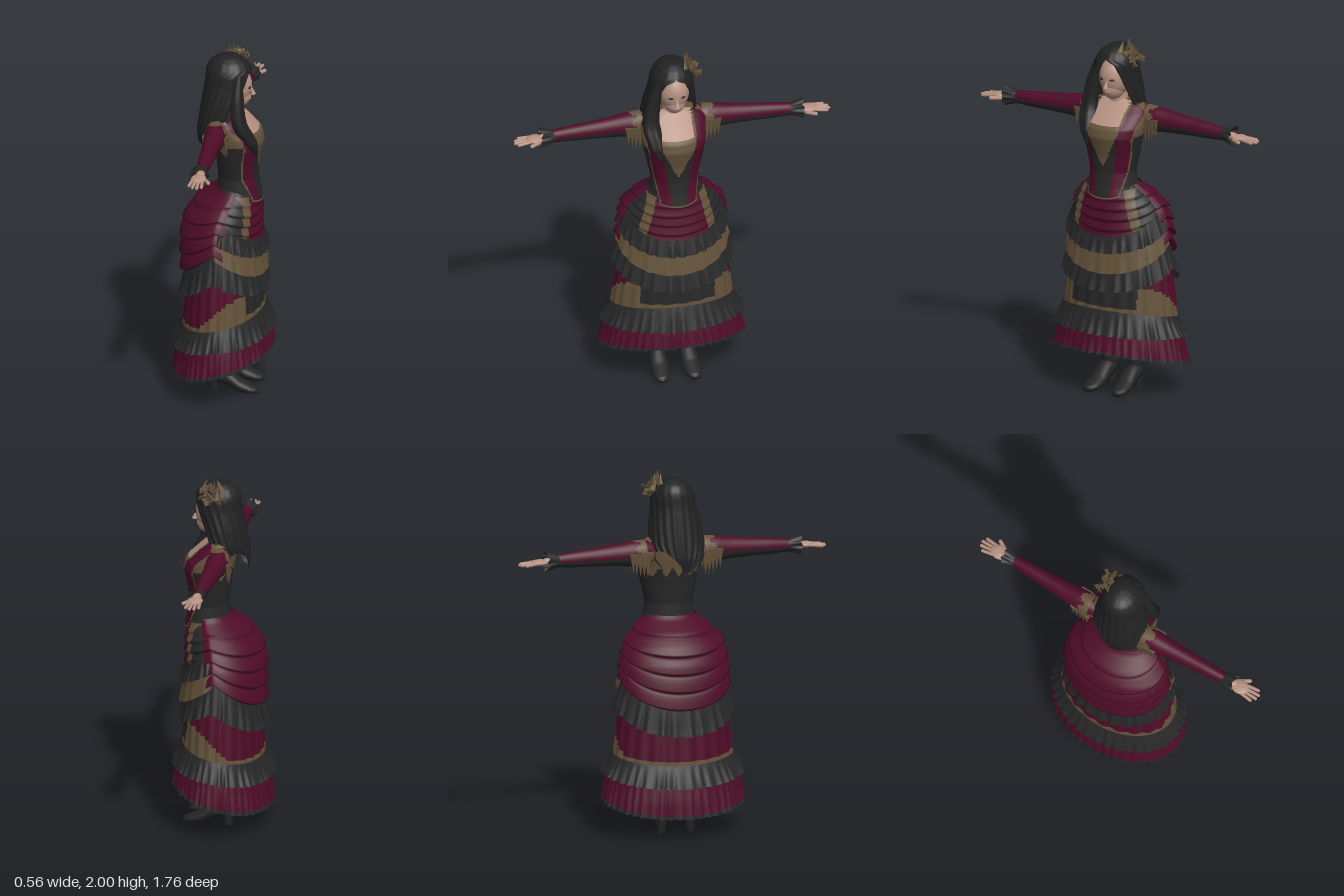
import * as THREE from 'three';
import { mergeVertices } from 'three/addons/utils/BufferGeometryUtils.js';

const { sin, cos, abs, max, min, PI } = Math;
const mat = (name, color) => new THREE.MeshStandardMaterial({ name, color, side: THREE.DoubleSide });

// Linear lookup in rows sorted by rising first value
function lookup(rows, k) {
  let i = 0;
  while (i < rows.length - 2 && k > rows[i + 1][0]) i++;
  const a = rows[i], b = rows[i + 1];
  const t = min(1, max(0, (k - a[0]) / (b[0] - a[0])));
  return a.slice(1).map((n, j) => n + (b[j + 1] - n) * t);
}

// Grid surface; each quad goes to the material chosen by paint
function surface(name, nu, nv, point, paint) {
  const pos = [], faces = new Map();
  for (let j = 0; j <= nv; j++) for (let i = 0; i <= nu; i++) pos.push(...point(i / nu, j / nv));
  for (let j = 0; j < nv; j++) for (let i = 0; i < nu; i++) {
    const a = j * (nu + 1) + i, c = a + nu + 1;
    const [x, y, z] = point((i + 0.5) / nu, (j + 0.5) / nv);
    const m = paint.isMaterial ? paint : paint(x, y, z, (i + 0.5) / nu, (j + 0.5) / nv);
    if (!faces.has(m)) faces.set(m, []);
    faces.get(m).push(a, c, a + 1, a + 1, c, c + 1);
  }
  let g = new THREE.BufferGeometry();
  g.setAttribute('position', new THREE.Float32BufferAttribute(pos, 3));
  g.setIndex([...faces.values()].flat());
  g = mergeVertices(g, 1e-5);
  let start = 0;
  [...faces.values()].forEach((f, k) => { g.addGroup(start, f.length, k); start += f.length; });
  g.computeVertexNormals();
  const mesh = new THREE.Mesh(g, [...faces.keys()]);
  mesh.name = name;
  return mesh;
}

// Point on an oval ring: half width, back z, front z, angle from the front
const oval = (y, [hw, zb, zf], a, off = 0) =>
  [(hw + off) * sin(a), y, (zf + zb) / 2 + ((zf - zb) / 2 + off) * cos(a)];
// Height that runs front -> side -> back
const drape = ([f, s, b], a) => { const c = cos(a), e = c > 0 ? f : b; return e + (s - e) * (1 - abs(c)); };

// Profiles: y, half width, back z, front z
const SKIRT = [[0.08, 0.38, -0.25, 0.235], [0.2, 0.37, -0.245, 0.235], [0.4, 0.34, -0.225, 0.215], [0.6, 0.315, -0.21, 0.2],
  [0.8, 0.285, -0.205, 0.19], [0.95, 0.265, -0.2, 0.185], [1.05, 0.245, -0.175, 0.185], [1.12, 0.205, -0.13, 0.185],
  [1.18, 0.15, -0.05, 0.175], [1.22, 0.125, -0.03, 0.17]];
const BODICE = [[1.1, 0.16, -0.05, 0.205], [1.18, 0.138, -0.04, 0.187], [1.26, 0.128, -0.035, 0.175], [1.36, 0.15, -0.045, 0.183],
  [1.46, 0.172, -0.06, 0.208], [1.51, 0.178, -0.07, 0.195], [1.58, 0.178, -0.075, 0.12], [1.625, 0.15, -0.07, 0.07], [1.65, 0.055, -0.05, 0.05]];
// Hair adds the half angle of the face opening
const HAIR = [[1.45, 0.09, -0.14, -0.03, 1.7], [1.52, 0.14, -0.15, 0.05, 1.4], [1.6, 0.155, -0.14, 0.1, 1.05], [1.7, 0.145, -0.125, 0.12, 0.85],
  [1.8, 0.125, -0.11, 0.148, 0.68], [1.86, 0.118, -0.105, 0.148, 0.45], [1.885, 0.108, -0.1, 0.14, 0],
  [1.92, 0.085, -0.08, 0.115, 0], [1.945, 0.05, -0.04, 0.075, 0], [1.955, 0, 0.02, 0.02, 0]];
const SLEEVE = [[0.12, 0.055], [0.17, 0.072], [0.24, 0.07], [0.32, 0.06], [0.45, 0.05], [0.55, 0.045], [0.68, 0.034]];
const FOOT = [[-0.08, 0.11, 0.08, 0], [-0.075, 0.13, 0.06, 0.03], [-0.03, 0.16, 0.05, 0.046], [0.03, 0.13, 0.035, 0.045],
  [0.1, 0.078, 0.005, 0.05], [0.16, 0.05, 0, 0.045], [0.195, 0.035, 0.003, 0.025], [0.2, 0.02, 0.015, 0]];

export function createModel() {
  const black = mat('black cloth', 0x272727), wine = mat('wine cloth', 0x4e0c27), gold = mat('old gold', 0x64523a);
  const skin = mat('skin', 0xb59080), hairMat = mat('hair', 0x212121), leather = mat('boot leather', 0x242424);
  const figure = new THREE.Group();
  figure.name = 'figure';
  const add = (geo, m, name, p, s = [1, 1, 1], r = [0, 0, 0], parent = figure) => {
    const mesh = new THREE.Mesh(geo, m);
    mesh.name = name;
    mesh.position.set(...p); mesh.scale.set(...s); mesh.rotation.set(...r);
    parent.add(mesh);
    return mesh;
  };

  // Skirt layers, each hung on the skirt profile with its own offset
  const layer = (name, top, bottom, off, paint, a0 = -PI, a1 = PI, nu = 160, nv = 10) =>
    figure.add(surface(name, nu, nv, (u, v) => {
      const a = a0 + (a1 - a0) * u, t = drape(top, a), y = t + (drape(bottom, a) - t) * v;
      return oval(y, lookup(SKIRT, y), a, off(v, a));
    }, paint));
  const ruffle = (o0, o1, n, amp) => (v, a) =>
    o0 + (o1 - o0) * v + amp * v * (sin(n * a) + 0.5 * sin((n + 13) * a + 1));

  layer('skirt', [1.2, 1.2, 1.2], [0.3, 0.3, 0.24], (v, a) => 0.006 * v * sin(22 * a), (x, y, z, u) => {
    const a = abs(u * 2 - 1) * PI;
    if (z > 0 && abs(x) < 0.205) return y < 0.505 ? gold : black;
    if (z > 0 && abs(x) < 0.225) return gold;
    const band = drape([0.5, 0.45, 0.41], a) + (a < 1.96 ? 0.12 * max(0, sin(1.6 * a)) : 0);
    return y < band + 0.015 ? gold : wine;
  }, -PI, PI, 160, 48);
  layer('skirtLining', [0.5, 0.5, 0.5], [0.27, 0.21, 0.13], () => -0.008, black);
  layer('hemRuffle', [0.38, 0.37, 0.31], [0.25, 0.19, 0.11], ruffle(0.015, 0.03, 46, 0.007),
    (x, y, z, u, v) => (v > 0.9 ? black : wine), -PI, PI, 220);
  layer('upperRuffle', [0.49, 0.45, 0.4], [0.36, 0.34, 0.28], ruffle(0.006, 0.045, 40, 0.007), black, -PI, PI, 220);
  layer('middleRuffle', [0.74, 0.9, 0.74], [0.6, 0.72, 0.56], ruffle(0.004, 0.034, 28, 0.007), black, -PI, PI, 200);

  // Draped apron with its flounces
  layer('apron', [1.16, 1.18, 1.18], [0.87, 0.99, 0.9], (v) => 0.006 + 0.016 * ((v * 5) % 1) * min(1, v * 3), (x, y) => {
    const edge = 0.125 + (1.13 - y) * 0.25;
    return abs(x) < edge ? wine : abs(x) < edge + 0.045 ? gold : black;
  }, -1.6, 1.6, 96, 30);
  layer('apronGoldBand', [0.86, 1.0, 0.9], [0.7, 0.86, 0.8], ruffle(0.014, 0.034, 20, 0.003), gold, -1.55, 1.55);
  layer('apronRuffle', [0.905, 1.07, 0.9], [0.815, 0.95, 0.85], ruffle(0.018, 0.042, 32, 0.006), black, -1.5, 1.5);

  // Bustle with hanging swags
  layer('bustle', [1.19, 1.19, 1.19], [0.7, 0.88, 0.7], (v, a) =>
    0.012 + 0.03 * min(1, v * 2.5) * Math.sqrt((v * 5) % 1) + 0.008 * sin(PI * v) - 0.012 * max(0, cos(a)) * 4,
  wine, 1.35, 2 * PI - 1.35, 110, 50);

  // Bodice with pointed front
  figure.add(surface('bodice', 120, 64, (u, v) => {
    const a = (u * 2 - 1) * PI, b = drape([1.115, 1.185, 1.185], a), y = b + (1.65 - b) * v;
    return oval(y, lookup(BODICE, y), a, 0.004);
  }, (x, y, z, u, v) => {
    const a = abs(x);
    if (v < 0.02) return gold;
    if (z < 0.03) return y > 1.44 + 0.025 * sin(x * 90) ? gold : black;
    if (a < 0.092 && y > 1.525) return skin;
    if (a < 0.105 && y > 1.525) return gold;
    if (a < min(0.1, (y - 1.29) * 0.5)) return gold;
    if (a < 0.05 + (y - 1.2) * 0.15) return black;
    const edge = 0.09 + (y - 1.12) * 0.19;
    if (a < edge) return wine;
    return a < edge + 0.007 || y > 1.47 ? gold : black;
  }));
  add(new THREE.CylinderGeometry(0.046, 0.06, 0.15, 24), skin, 'neck', [0, 1.64, 0.015], [1, 1, 1], [0.12, 0, 0]);

  // Arms, shoulder fringe, cuffs and hands
  for (const s of [-1, 1]) {
    const side = s > 0 ? 'left' : 'right';
    figure.add(surface(side + 'Sleeve', 32, 50, (u, v) => {
      const x = 0.12 + 0.56 * v, [r] = lookup(SLEEVE, x), a = s * u * 2 * PI;
      return [s * x, 1.553 - 0.018 * v + r * cos(a), -0.018 + 0.015 * v + r * 0.85 * sin(a)];
    }, (x, y, z, u, v) => {
      const c = cos(u * 2 * PI), ax = abs(x);
      if (ax < 0.215 + 0.02 * sin(u * 40)) return ax < 0.17 && c > 0.2 ? wine : gold;
      return c > -0.1 ? wine : c > -0.28 && sin(v * 30) > -0.5 ? gold : black;
    }));
    for (const f of [-1, 1]) for (let i = 0; i < 5; i++)
      add(new THREE.ConeGeometry(0.021, 0.13 - 0.012 * abs(i - 2), 6), gold, side + 'ShoulderFringe',
        [s * (0.165 + i * 0.021), 1.475 + 0.008 * i, -0.015 + f * 0.06], [1, 1, 0.4], [PI, 0, 0]);
    figure.add(surface(side + 'Cuff', 64, 6, (u, v) => {
      const a = s * u * 2 * PI, r = 0.034 + 0.018 * v + 0.005 * v * sin(9 * a);
      return [s * (0.655 + 0.07 * v + 0.006 * v * sin(7 * a)), 1.535 + r * cos(a), -0.003 + r * sin(a)];
    }, black));
    const hand = new THREE.Group();
    hand.name = side + 'Hand';
    hand.position.set(s * 0.7, 1.535, 0);
    figure.add(hand);
    const ball = new THREE.SphereGeometry(1, 20, 12);
    add(ball, skin, 'wrist', [s * 0.01, 0, 0], [0.04, 0.02, 0.025], [0, 0, 0], hand);
    add(ball, skin, 'palm', [s * 0.06, -0.003, 0], [0.052, 0.017, 0.042], [0, 0, 0], hand);
    [0.07, 0.085, 0.08, 0.06].forEach((len, i) =>
      add(new THREE.CapsuleGeometry(0.0095, len, 4, 8), skin, 'finger',
        [s * (0.085 + len / 2), -0.008, 0.03 - i * 0.021], [1, 1, 1], [0, s * (i - 1.5) * 0.08, s * (PI / 2 - 0.1)], hand));
    add(new THREE.CapsuleGeometry(0.011, 0.055, 4, 8), skin, 'thumb', [s * 0.065, -0.012, 0.045], [1, 1, 1], [0, -s * 0.55, s * PI / 2], hand);

    // Heeled boots
    const x0 = s * 0.083;
    add(new THREE.CylinderGeometry(0.06, 0.045, 0.4, 24), leather, side + 'BootShaft', [x0, 0.32, -0.03]);
    add(new THREE.CylinderGeometry(0.033, 0.022, 0.1, 16), leather, side + 'Heel', [x0, 0.05, -0.05]);
    figure.add(surface(side + 'BootFoot', 24, 28, (u, v) => {
      const z = -0.08 + 0.28 * v, [t, b, w] = lookup(FOOT, z), a = u * 2 * PI;
      return [x0 + s * 0.04 * max(0, z) + w * sin(a), (t + b) / 2 + (t - b) / 2 * cos(a), z];
    }, leather));
    add(ball, hairMat, side + 'Eye', [s * 0.034, 1.775, 0.139], [0.014, 0.006, 0.004], [0, s * 0.35, 0]);
  }

  // Head and face
  add(new THREE.SphereGeometry(1, 32, 24), skin, 'head', [0, 1.775, 0.045], [0.086, 0.11, 0.1]);
  add(new THREE.SphereGeometry(1, 24, 16), skin, 'jaw', [0, 1.715, 0.068], [0.06, 0.065, 0.07]);
  add(new THREE.ConeGeometry(0.015, 0.055, 8), skin, 'nose', [0, 1.752, 0.146], [1, 1, 1], [-0.25, 0, 0]);
  add(new THREE.SphereGeometry(1, 12, 8), skin, 'mouth', [0, 1.703, 0.13], [0.022, 0.009, 0.01]);

  // Long hair, longer on the right, with a lock over the chest
  figure.add(surface('hair', 96, 40, (u, v) => {
    const w = sin(u * 2 * PI), y = 1.955 - (0.505 - 0.12 * max(0, w)) * v ** 1.5;
    const [hw, zb, zf, open] = lookup(HAIR, y), a = open + u * 2 * (PI - open);
    const p = oval(y, [hw, zb, zf], a, hw && 0.004 * v * sin(u * 90));
    p[0] -= 0.02 * v;
    return p;
  }, hairMat));
  const path = new THREE.CatmullRomCurve3([[-0.085, 1.87, 0.09], [-0.118, 1.74, 0.085], [-0.135, 1.6, 0.1],
    [-0.115, 1.5, 0.15], [-0.1, 1.41, 0.19]].map((p) => new THREE.Vector3(...p)));
  figure.add(surface('frontLock', 24, 30, (u, v) => {
    const p = path.getPoint(v), a = u * 2 * PI;
    const [r] = lookup([[0, 0.02], [0.25, 0.04], [0.6, 0.05], [0.8, 0.042], [1, 0.004]], v);
    return [p.x + r * sin(a), p.y, p.z + r * (0.85 + 0.1 * sin(5 * a)) * cos(a)];
  }, hairMat));

  // Leaf headpiece on the left of the crown
  let seed = 7;
  const rnd = () => (seed = (seed * 16807) % 2147483647) / 2147483647;
  const leaf = new THREE.ConeGeometry(0.02, 0.075, 5);
  for (let i = 0; i < 22; i++) {
    const t = i / 21, out = 0.4 + t * 1.0;
    add(leaf, gold, 'headpieceLeaf', [0.02 + 0.1 * sin(out) + 0.01 * rnd(), 1.875 + 0.085 * cos(out) - 0.02 * t, -0.04 + 0.13 * rnd()],
      [1, 0.9, 0.35], [(rnd() - 0.5) * 2.2, rnd() * 3, -out * 0.6 + (rnd() - 0.5)]);
  }
  add(leaf, gold, 'headpieceTip', [0.075, 1.963, 0.03], [1, 1, 0.35], [0, 0.3, 0]);

  // The figure looks toward +x
  figure.rotation.y = PI / 2;
  const model = new THREE.Group();
  model.name = 'gownedFigure';
  model.add(figure);
  return model;
}
